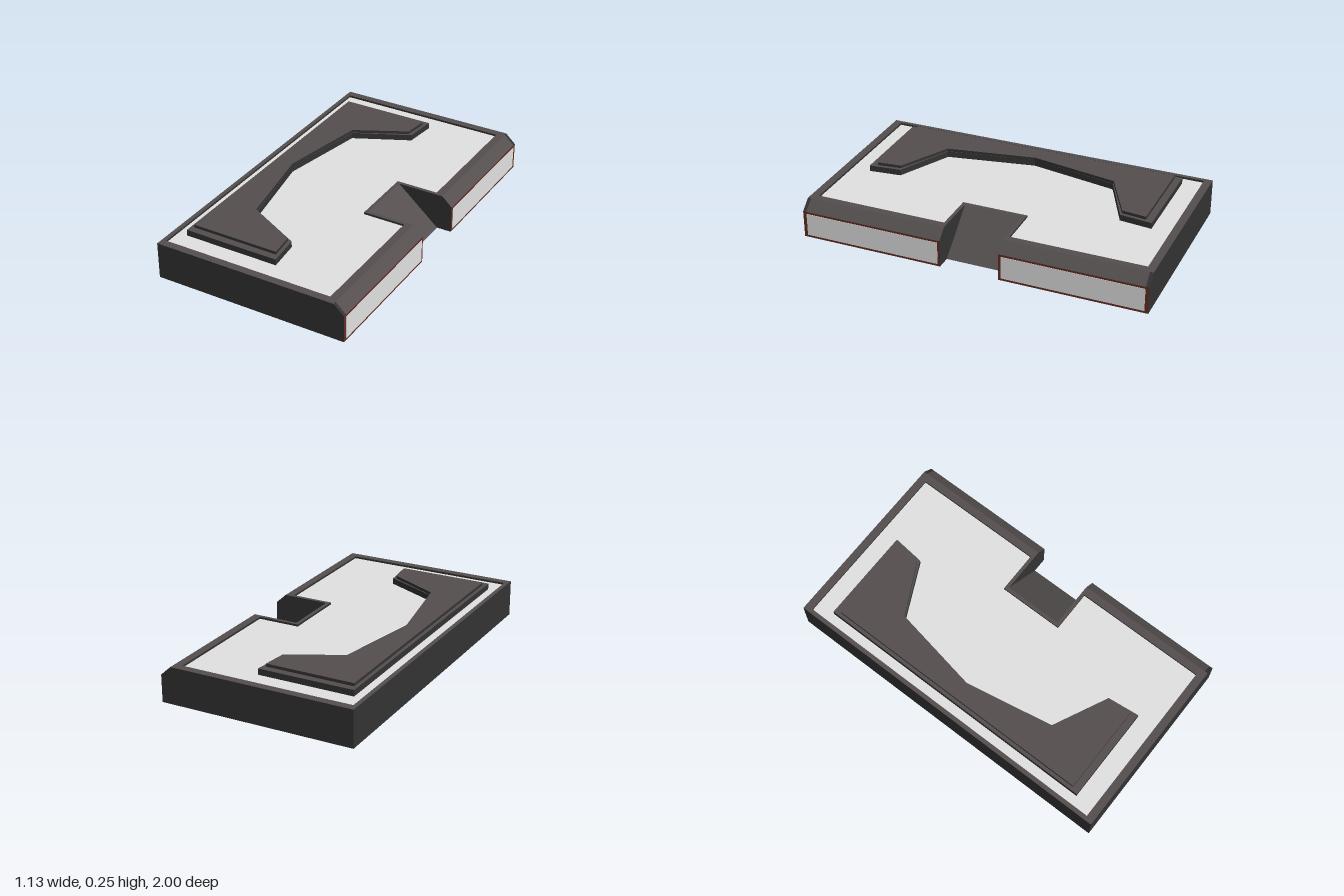
import * as THREE from 'three';

const mat = (name, color) => {
  const m = new THREE.MeshStandardMaterial({ color });
  m.name = name;
  return m;
};

export function createModel() {
  const group = new THREE.Group();
  const top = mat('warm grey top', 0x544e4e);
  const side = mat('charcoal side', 0x333333);
  const trim = mat('rust trim', 0x642c22);
  const pale = mat('pale panel', 0xe2e2e2);

  const H = 0.212, FLOOR = 0.197, X = 0.565, CH = 0.505, CHY = 0.157;
  const toShape = pts => new THREE.Shape(pts.map(p => new THREE.Vector2(...p)));
  const extrude = (pts, depth) =>
    new THREE.ExtrudeGeometry(toShape(pts), { depth, bevelEnabled: false });
  const add = (name, geo, material) => {
    const m = new THREE.Mesh(geo, material);
    m.name = name;
    group.add(m);
    return m;
  };

  // Give every triangle a material index chosen from its normal and z
  function paint(geo, rule) {
    const g = geo.index ? geo.toNonIndexed() : geo;
    g.clearGroups();
    const n = g.attributes.normal, p = g.attributes.position;
    for (let i = 0; i < p.count; i += 3)
      g.addGroup(i, 3, rule(n.getX(i), n.getY(i), p.getX(i)));
    return g;
  }

  // Slab slice: side profile extruded between two z values
  const nose = [[X, 0], [X, CHY], [CH, H]];
  const ramp = [[0.48, 0], [0.235, H]];
  const well = rimX => [[rimX, H], [rimX, FLOOR], [-0.54, FLOOR], [-0.54, H]];
  function slice(name, front, recess, z0, z1, darkBevel = false) {
    const geo = extrude([[-X, 0], ...front, ...recess, [-X, H]], z1 - z0);
    geo.translate(0, 0, z0);
    add(name, paint(geo, (nx, ny, x) => {
      if (ny > 0.9) return 0;
      if (ny > 0.3) return darkBevel ? 1 : 0;
      return nx > 0.9 && x > X - 0.01 && front === nose ? 2 : 1;
    }), [top, side, trim]);
  }
  const both = (name, front, recess, z0, z1, dark) => {
    slice(name + 'Left', front, recess, z0, z1, dark);
    slice(name + 'Right', front, recess, -z1, -z0, dark);
  };
  slice('notchRampBody', ramp, well(0.215), -0.17, 0.17);
  both('notchRim', nose, well(0.215), 0.17, 0.19);
  both('mainBody', nose, well(0.46), 0.19, 0.955);
  both('endRim', nose, [], 0.955, 0.98);
  both('endCap', nose, [], 0.98, 1, true);

  // Flat plate from an x,z outline that is mirrored across z = 0
  function plate(name, half, y, h, materials) {
    const mirrored = half.filter(p => p[1] !== 0).map(([x, z]) => [x, -z]).reverse();
    const geo = extrude([...half, ...mirrored], h);
    geo.rotateX(-Math.PI / 2).translate(0, y, 0);
    add(name, paint(geo, (nx, ny) => (ny > 0.9 ? 0 : 1)), materials);
  }
  plate('topPanel',
    [[0.215, 0.19], [0.46, 0.19], [0.46, 0.955], [-0.54, 0.955]],
    FLOOR, 0.003, [pale, pale]);
  plate('lowerTier',
    [[-0.36, 0], [-0.265, 0.508], [0.05, 0.66], [0.07, 0.845], [-0.485, 0.845]],
    FLOOR, 0.235 - FLOOR, [top, side]);
  plate('upperTier',
    [[-0.36, 0], [-0.267, 0.512], [0.03, 0.665], [0.046, 0.805], [-0.465, 0.805]],
    0.235, 0.017, [top, side]);

  // Pale panels on the two nose faces
  for (const s of [1, -1]) {
    const panel = add(s > 0 ? 'nosePanelLeft' : 'nosePanelRight',
      new THREE.BoxGeometry(0.004, 0.132, 0.795), pale);
    panel.position.set(X, 0.079, s * 0.5815);
  }
  return group;
}
